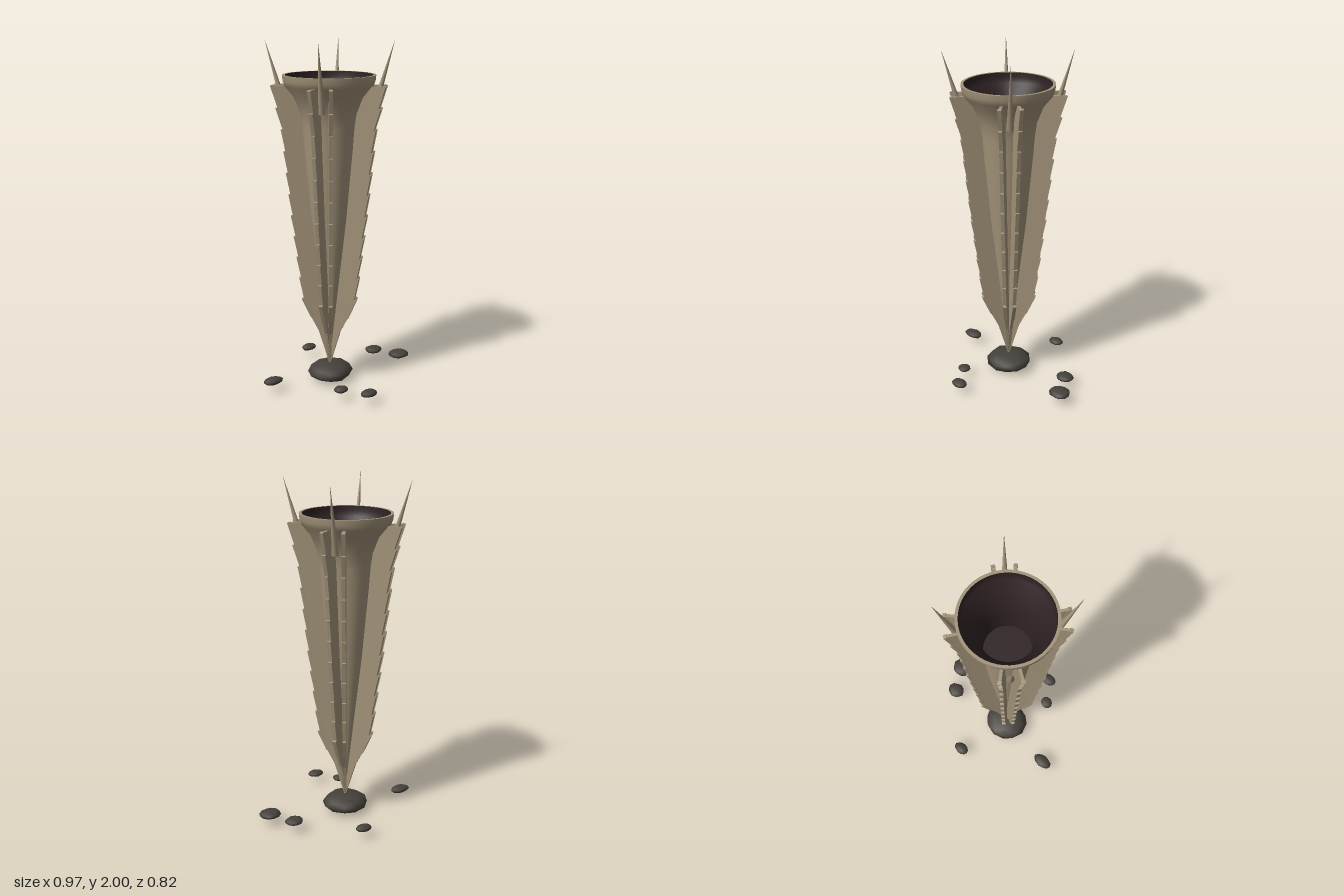
import * as THREE from 'three';
import { mergeVertices } from 'three/addons/utils/BufferGeometryUtils.js';

const mat = (name, color, side = THREE.FrontSide) => {
  const m = new THREE.MeshStandardMaterial({ color, side });
  m.name = name;
  return m;
};

// outer wall of the flared horn: [radius, height]
const BODY = [
  [0.007, 0.09], [0.015, 0.23], [0.04, 0.45], [0.064, 0.66], [0.104, 1.0], [0.122, 1.2],
  [0.141, 1.4], [0.15, 1.52], [0.162, 1.6], [0.198, 1.69], [0.247, 1.75], [0.257, 1.78], [0.26, 1.81],
];
// outer edge of a fin: [radius, height]
const FIN = [[0.008, 0.12], [0.065, 0.31], [0.11, 0.4], [0.148, 0.5], [0.207, 1.0], [0.257, 1.5], [0.313, 1.752]];

// linear lookup of a radius at a height
function radiusAt(table, y) {
  for (let i = 1; i < table.length; i++) {
    const [r0, y0] = table[i - 1], [r1, y1] = table[i];
    if (y <= y1) return r0 + (r1 - r0) * (y - y0) / (y1 - y0);
  }
  return table[table.length - 1][0];
}

export function createModel() {
  const model = new THREE.Group();
  const shell = mat('dry tan shell', 0xa3947a);
  const dark = mat('dark inside', 0x2e2223, THREE.DoubleSide);
  const stone = mat('dark stone', 0x45413b);

  const add = (parent, name, geometry, material) => {
    const mesh = new THREE.Mesh(geometry, material);
    mesh.name = name;
    parent.add(mesh);
    return mesh;
  };

  const vessel = new THREE.Group();
  vessel.name = 'vessel';
  vessel.position.set(-0.055, 0, -0.03);
  model.add(vessel);

  // horn body with a narrow rim
  const v = ([r, y]) => new THREE.Vector2(r, y);
  add(vessel, 'body', new THREE.LatheGeometry(BODY.map(v), 48), shell);
  const rim = add(vessel, 'rim', new THREE.RingGeometry(0.244, 0.26, 48), shell);
  rim.rotation.x = -Math.PI / 2;
  rim.position.y = 1.81;

  // dark hollow with a flat floor
  const hollow = BODY.filter(p => p[1] >= 1.4).map(([r, y]) => new THREE.Vector2(r - 0.012, y));
  hollow[hollow.length - 1].x = 0.245;
  add(vessel, 'insideWall', new THREE.LatheGeometry(hollow, 48), dark);
  const floor = add(vessel, 'insideFloor', new THREE.CircleGeometry(0.13, 48), dark);
  floor.rotation.x = -Math.PI / 2;
  floor.position.y = 1.4;

  // fin blade between the body and its outer edge
  const outline = new THREE.Shape();
  FIN.forEach(([r, y], i) => (i ? outline.lineTo(r, y) : outline.moveTo(r, y)));
  BODY.filter(p => p[1] > 0.15 && p[1] <= 1.75).reverse()
    .forEach(([r, y]) => outline.lineTo(r - 0.004, y === 1.75 ? 1.752 : y));
  const blade = new THREE.ExtrudeGeometry(outline, { depth: 0.016, bevelEnabled: false });
  blade.translate(0, 0, -0.008);

  const tooth = new THREE.BoxGeometry(0.018, 0.128, 0.021);
  const spike = new THREE.ConeGeometry(0.02, 0.39, 12);

  for (let q = 0; q < 4; q++) {
    const diagonal = Math.PI / 4 + q * Math.PI / 2;

    // a pair of toothed fins either side of each diagonal
    for (const side of [-1, 1]) {
      const fin = new THREE.Group();
      fin.name = 'fin';
      fin.rotation.y = -(diagonal + side * 0.182);
      vessel.add(fin);
      add(fin, 'finBlade', blade, shell);
      for (let i = 0; i < 11; i++) {
        const y = 1.692 - i * 0.1235;
        const slope = (radiusAt(FIN, y + 0.06) - radiusAt(FIN, y - 0.06)) / 0.12;
        const t = add(fin, 'finTooth', tooth, shell);
        t.position.set(radiusAt(FIN, y) - 0.002, y, 0);
        t.rotation.z = -Math.atan(slope) - 0.09;
      }
    }

    // slender spike leaning outward between the fins
    const holder = new THREE.Group();
    holder.name = 'spikeMount';
    holder.rotation.y = -diagonal;
    vessel.add(holder);
    const s = add(holder, 'spike', spike, shell);
    s.position.set(0.305, 1.812, 0);
    s.rotation.z = -Math.atan2(0.11, 0.375);
  }

  // rounded, slightly irregular stones
  let seed = 7;
  const rand = () => (seed = (seed * 16807) % 2147483647) / 2147483647;
  const rock = (name, x, y, z, sx, sy, sz, detail) => {
    let g = new THREE.IcosahedronGeometry(1, detail);
    g.deleteAttribute('normal');
    g.deleteAttribute('uv');
    g = mergeVertices(g, 1e-3);
    const p = g.attributes.position;
    for (let i = 0; i < p.count; i++) {
      const k = 0.92 + 0.12 * rand();
      p.setXYZ(i, p.getX(i) * k, p.getY(i) * k, p.getZ(i) * k);
    }
    g.scale(sx, sy, sz);
    g.computeVertexNormals();
    add(model, name, g, stone).position.set(x, y, z);
  };
  rock('baseStone', -0.055, 0.058, -0.03, 0.138, 0.057, 0.132, 1);
  [
    [0.035, -0.378, 0.05, 0.036], [-0.42, -0.085, 0.062, 0.04], [0.337, -0.103, 0.055, 0.048],
    [0.418, 0.044, 0.065, 0.06], [-0.175, 0.24, 0.042, 0.038], [-0.08, 0.373, 0.052, 0.037],
  ].forEach(([x, z, sx, sz]) => rock('looseStone', x, 0.067, z, sx, 0.01 + sx * 0.2, sz, 1));

  return model;
}
